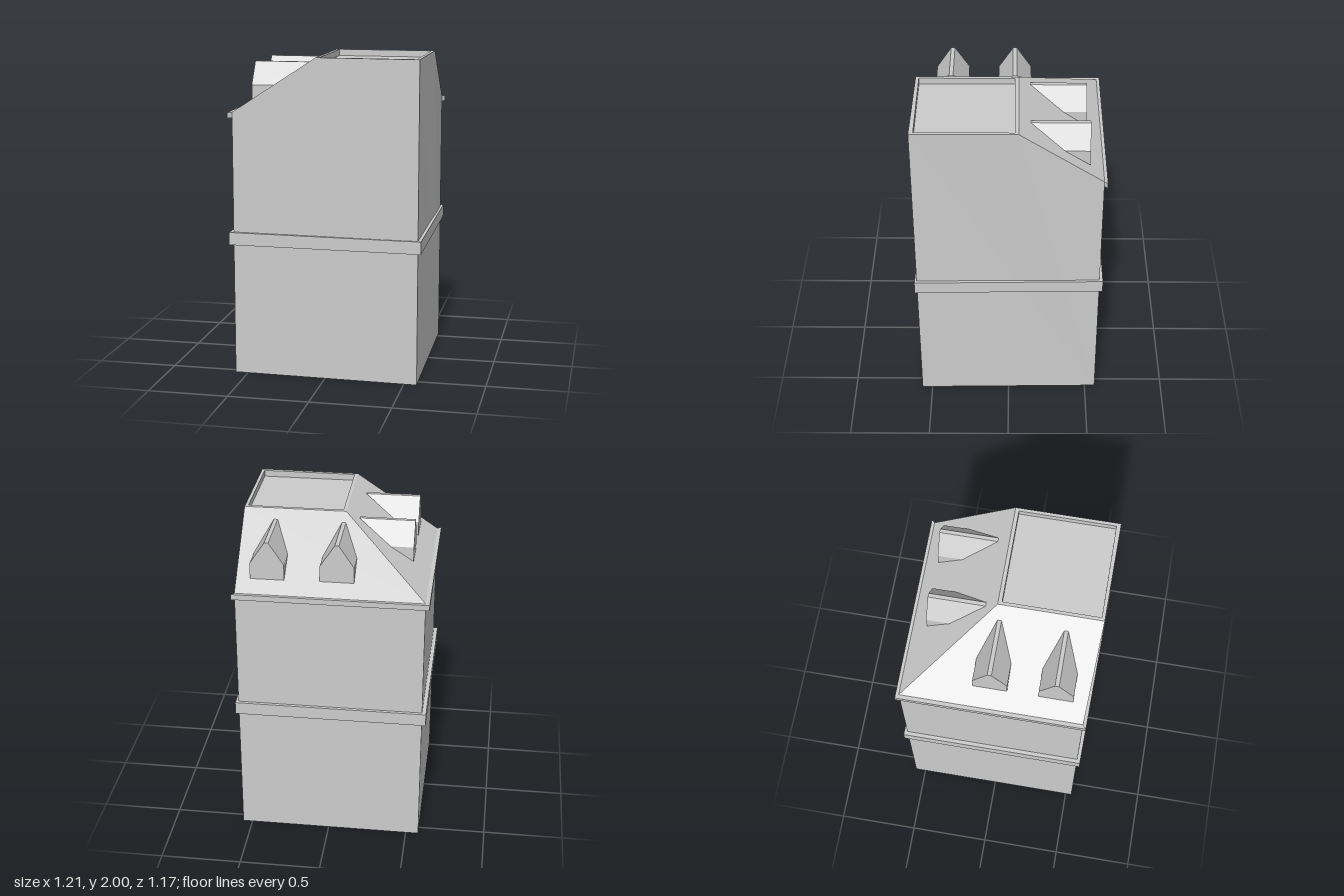
import * as THREE from 'three';

const material = new THREE.MeshStandardMaterial({ color: 0xcccccc, flatShading: true, side: THREE.DoubleSide });

// Flat-shaded mesh from convex polygons of [x, y, z] points
function polyMesh(name, polygons) {
  const pos = [];
  for (const p of polygons)
    for (let i = 1; i < p.length - 1; i++) pos.push(...p[0], ...p[i], ...p[i + 1]);
  const geo = new THREE.BufferGeometry();
  geo.setAttribute('position', new THREE.Float32BufferAttribute(pos, 3));
  geo.computeVertexNormals();
  const mesh = new THREE.Mesh(geo, material);
  mesh.name = name;
  return mesh;
}

const at = ([x, z], y) => [x, y, z];

// Plan corners: back -x, back +x, front +x, front -x
const wall = [[-0.58, -0.565], [0.56, -0.565], [0.58, 0.565], [-0.58, 0.54]];
const ledge = [[-0.605, -0.585], [0.578, -0.585], [0.6, 0.583], [-0.605, 0.56]];
const EAVE = 1.655, TOP = 2;

// Projecting moulding running around the walls from corner to corner
function moulding(name, order, y0, y1, closed) {
  const faces = [];
  const n = order.length;
  for (let i = 0; i < (closed ? n : n - 1); i++) {
    const a = order[i], b = order[(i + 1) % n];
    const [oa, ob, ia, ib] = [ledge[a], ledge[b], wall[a], wall[b]];
    faces.push([at(oa, y0), at(oa, y1), at(ob, y1), at(ob, y0)]);
    faces.push([at(oa, y1), at(ia, y1), at(ib, y1), at(ob, y1)]);
    faces.push([at(oa, y0), at(ob, y0), at(ib, y0), at(ia, y0)]);
  }
  if (!closed) {
    const s = order[0], e = order[n - 1];
    faces.push([at(ledge[s], y0), at(wall[s], y0), at(wall[s], y1), at(ledge[s], y1)]);
    faces.push([at(ledge[e], y0), at(ledge[e], y1), at(wall[e], y1), at(wall[e], y0)]);
  }
  return polyMesh(name, faces);
}

// Dormer with a narrow flat ridge, facing -z and running back into the slope
function dormer(cx, face) {
  const w = 0.103, r = 0.012, base = 1.718, eave = 1.817, ridge = 1.955;
  const cheek = -0.332, tip = -0.13;
  const bl = [cx - w, base, face], br = [cx + w, base, face];
  const el = [cx - w, eave, face], er = [cx + w, eave, face];
  const rl = [cx - r, ridge, face], rr = [cx + r, ridge, face];
  const elBack = [cx - w, eave, cheek], erBack = [cx + w, eave, cheek];
  const rlBack = [cx - r, ridge, tip], rrBack = [cx + r, ridge, tip];
  return polyMesh('dormer', [
    [bl, el, rl, rr, er, br],
    [bl, elBack, el], [br, er, erBack],
    [el, elBack, rlBack, rl], [rl, rlBack, rrBack, rr], [rr, rrBack, erBack, er],
  ]);
}

export function createModel() {
  const group = new THREE.Group();
  group.name = 'cornerBuilding';

  const [A0, B0, C0, D0] = wall.map(p => at(p, 0));
  const [A1, B1, , D1] = wall.map(p => at(p, EAVE));
  // Corners of the flat roof top
  const deck = [[-0.05, -0.06], [0.58, -0.06], [0.58, 0.575], [-0.05, 0.568]].map(p => at(p, TOP));
  const [T0, T1, T2, T3] = deck;

  // Walls, open underneath; front and +x walls rise to the roof top
  group.add(polyMesh('walls', [
    [A0, A1, B1, B0],
    [B0, B1, T1, T2, C0],
    [C0, T2, T3, D1, D0],
    [D0, D1, A1, A0],
  ]));

  // Hipped slopes on the back and -x sides
  group.add(polyMesh('roofSlopes', [[A1, D1, T3, T0], [A1, T0, T1, B1]]));

  // Parapet rim around a shallow sunken deck
  const inner = [[-0.03, -0.037], [0.56, -0.037], [0.56, 0.548], [-0.03, 0.548]];
  const rim = inner.map(p => at(p, TOP));
  const floor = inner.map(p => at(p, TOP - 0.04));
  const parapet = [];
  for (let i = 0; i < 4; i++) {
    const j = (i + 1) % 4;
    parapet.push([deck[i], rim[i], rim[j], deck[j]], [rim[i], floor[i], floor[j], rim[j]]);
  }
  group.add(polyMesh('parapet', parapet));
  group.add(polyMesh('roofDeck', [[floor[0], floor[3], floor[2], floor[1]]]));

  // Mouldings: full band at mid height, eave on the sloped sides only
  group.add(moulding('bandCourse', [0, 1, 2, 3], 0.828, 0.907, true));
  group.add(moulding('eaveMoulding', [3, 0, 1], 1.62, EAVE, false));

  // Two dormers on each slope
  const back = new THREE.Group();
  back.name = 'backDormers';
  back.add(dormer(-0.044, -0.474), dormer(0.375, -0.483));
  const side = new THREE.Group();
  side.name = 'sideDormers';
  side.add(dormer(0.035, -0.474), dormer(-0.358, -0.474));
  side.rotation.y = Math.PI / 2;
  group.add(back, side);

  return group;
}
